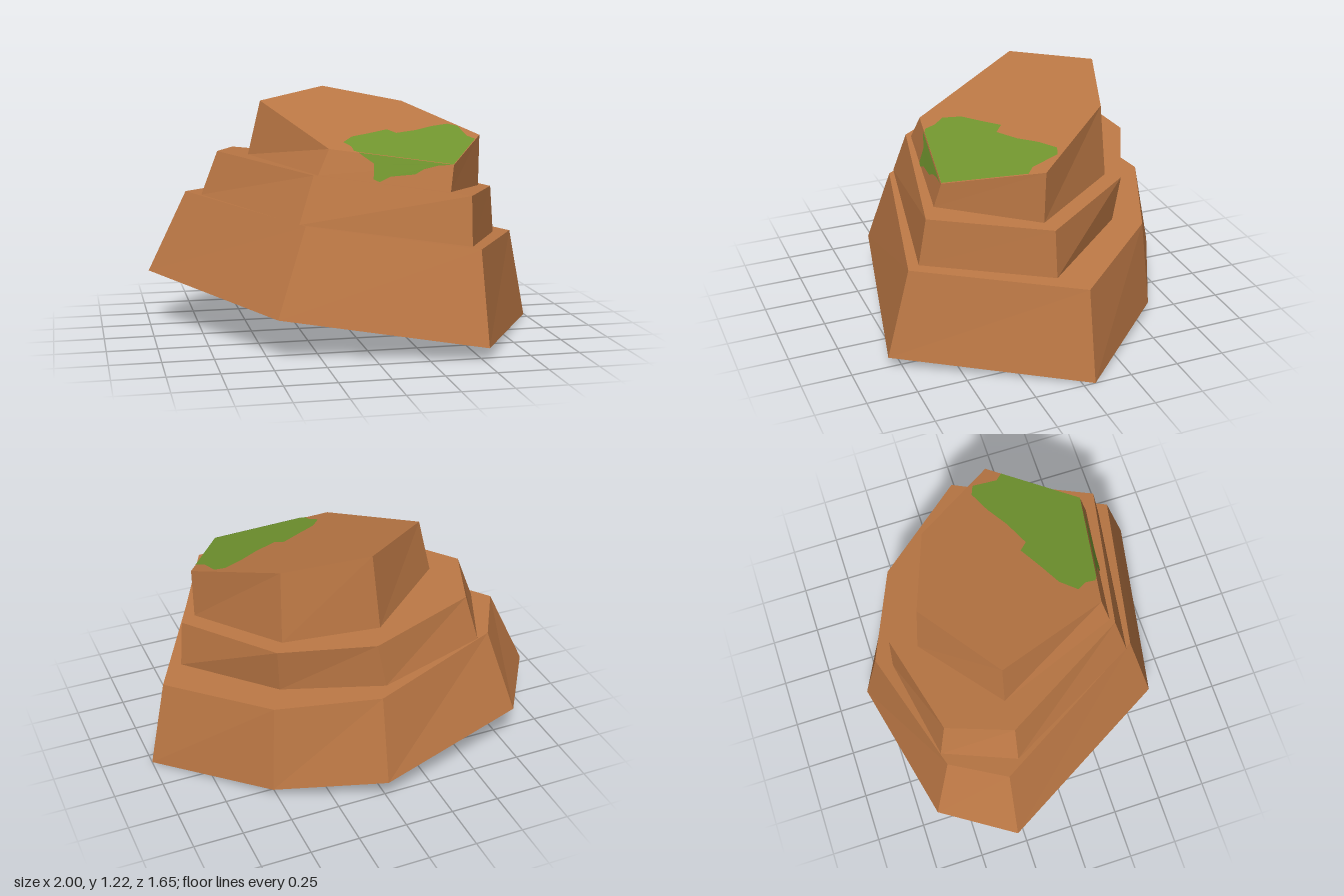
import * as THREE from 'three';

const rock = new THREE.MeshStandardMaterial({ color: 0xbc7845, side: THREE.DoubleSide });
rock.name = 'rock brown';
const moss = new THREE.MeshStandardMaterial({ color: 0x72962f, side: THREE.DoubleSide });
moss.name = 'moss green';

// Tilted planes that the tiers are cut along
const ground = (x) => 0.14 - 0.14 * x;
const lowLedge = (x) => 0.59 - 0.137 * x;
const highLedge = (x) => 0.83 - 0.135 * x;
const summit = (x, z) => 1.083 - 0.09 * x - 0.285 * z;

const lift = (outline, plane) => outline.map(([x, z]) => new THREE.Vector3(x, plane(x, z), z));

// Flat-shaded mesh from a list of triangle corners
function facets(name, corners, material) {
  const geometry = new THREE.BufferGeometry().setFromPoints(corners);
  geometry.computeVertexNormals();
  const mesh = new THREE.Mesh(geometry, material);
  mesh.name = name;
  return mesh;
}

// Tapered tier: side walls and a top cap, open underneath
function tier(name, lower, upper) {
  const corners = [];
  const n = lower.length;
  for (let i = 0; i < n; i++) {
    const j = (i + 1) % n;
    corners.push(lower[i], lower[j], upper[j], lower[i], upper[j], upper[i]);
    if (i > 0 && j > 0) corners.push(upper[0], upper[i], upper[j]);
  }
  return facets(name, corners, rock);
}

// Thin patch: a 2D outline triangulated and mapped onto a surface
function patch(name, outline, toSurface) {
  const flat = outline.map(([a, b]) => new THREE.Vector2(a, b));
  const corners = THREE.ShapeUtils.triangulateShape(flat, []).flat()
    .map((i) => toSurface(flat[i].x, flat[i].y));
  return facets(name, corners, moss);
}

export function createModel() {
  const model = new THREE.Group();
  model.name = 'steppedRock';

  // Outlines as [x, z], running left, front, right, back
  const baseLow = [[-1, -0.3], [-0.46, 0.62], [0.52, 0.82], [1, -0.06], [0.53, -0.58], [0.02, -0.83], [-0.76, -0.66]];
  const baseTop = [[-0.8, -0.28], [-0.31, 0.53], [0.51, 0.7], [0.91, -0.06], [0.5, -0.54], [0.02, -0.74], [-0.64, -0.55]];
  const midLow = [[-0.725, -0.21], [-0.335, 0.5], [0.485, 0.64], [0.78, 0.05], [0.42, -0.41], [-0.035, -0.66], [-0.575, -0.565]];
  const midTop = [[-0.64, -0.2], [-0.255, 0.45], [0.49, 0.6], [0.76, 0.055], [0.44, -0.44], [0.01, -0.648], [-0.52, -0.52]];
  const peakLow = [[-0.48, -0.2], [-0.23, 0.43], [0.405, 0.53], [0.685, 0.08], [0.39, -0.375], [-0.06, -0.52]];
  const peakTop = [[-0.415, -0.19], [-0.17, 0.4], [0.428, 0.498], [0.69, 0.075], [0.38, -0.345], [-0.027, -0.488]];

  const foot = lift(peakLow, highLedge);
  const crown = lift(peakTop, summit);
  model.add(
    tier('lowerTier', lift(baseLow, ground), lift(baseTop, lowLedge)),
    tier('middleTier', lift(midLow, lowLedge), lift(midTop, highLedge)),
    tier('upperTier', foot, crown),
  );

  // Moss on the sloping summit
  model.add(patch('summitMoss', [
    [-0.08, 0.31], [-0.02, 0.23], [0.08, 0.17], [0.19, 0.1], [0.23, 0.14], [0.35, 0.08], [0.45, 0.01],
    [0.55, -0.04], [0.6, -0.02], [0.61, 0.11], [0.645, 0.145], [0.428, 0.498], [-0.03, 0.423], [-0.05, 0.41], [-0.05, 0.36],
  ], (x, z) => new THREE.Vector3(x, summit(x, z) + 0.004, z)));

  // Moss spilling over the front wall: u along the rim, v downwards
  model.add(patch('hangingMoss', [
    [0.235, 0], [0.29, 0.13], [0.38, 0.33], [0.41, 0.9], [0.46, 0.97], [0.53, 0.72],
    [0.71, 0.53], [0.77, 0.3], [0.88, 0.1], [1, 0],
  ], (u, v) => {
    const rim = crown[1].clone().lerp(crown[2], u);
    const base = foot[1].clone().lerp(foot[2], u);
    return rim.lerp(base, v).add(new THREE.Vector3(-0.001, 0.002, 0.006));
  }));

  return model;
}
